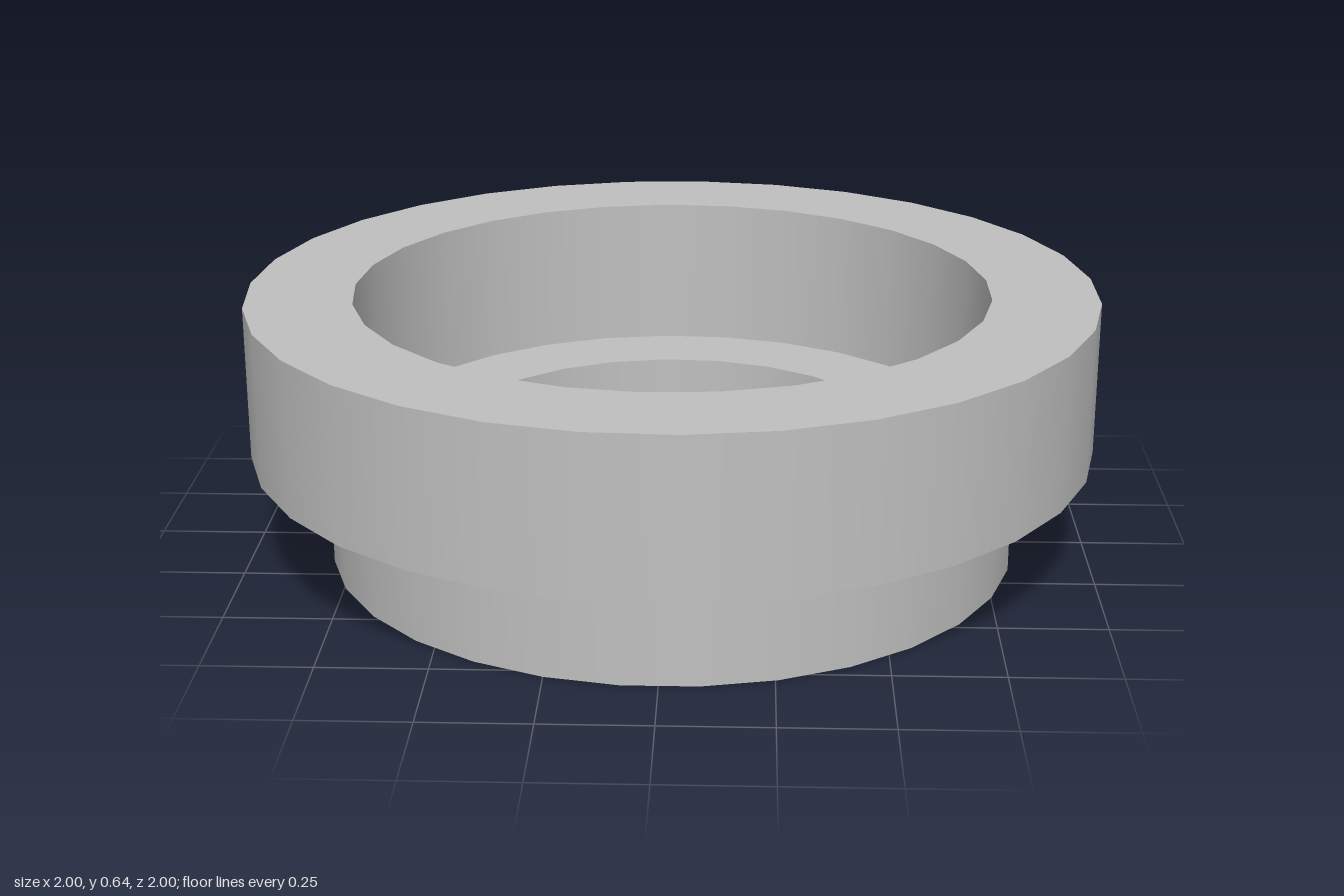
import * as THREE from 'three';

// Stepped collar: each ring edge is a circle with its own radius and side count
const FLANGE = { r: 1.001, n: 31 };
const SPIGOT = { r: 0.82, n: 30 };
const RECESS = { r: 0.75, n: 29 };
const BORE = { r: 0.55, n: 25 };
const BASE = 0, STEP = 0.275, TOP = 0.64;

export function createModel() {
  const group = new THREE.Group();
  const grey = new THREE.MeshStandardMaterial({ color: 0xc0c0c0 });
  grey.name = 'plain grey';

  function add(name, geometry) {
    const mesh = new THREE.Mesh(geometry, grey);
    mesh.name = name;
    group.add(mesh);
  }

  // Smooth wall; faces outward when y0 < y1, inward when y0 > y1
  function wall(name, { r, n }, y0, y1) {
    const profile = [new THREE.Vector2(r, y0), new THREE.Vector2(r, y1)];
    add(name, new THREE.LatheGeometry(profile, n, -Math.PI / 2));
  }

  // Polygon with a corner on the -x side
  function polygon({ r, n }) {
    return Array.from({ length: n }, (_, i) => {
      const a = Math.PI + (i / n) * Math.PI * 2;
      return new THREE.Vector2(r * Math.cos(a), r * Math.sin(a));
    });
  }

  // Flat ring facing up (dir = 1) or down (dir = -1)
  function ring(name, outer, inner, y, dir) {
    const shape = new THREE.Shape(polygon(outer));
    shape.holes.push(new THREE.Path(polygon(inner)));
    add(name, new THREE.ShapeGeometry(shape).rotateX(-dir * Math.PI / 2).translate(0, y, 0));
  }

  // Wide upper flange with its recess
  wall('flangeWall', FLANGE, STEP, TOP);
  wall('recessWall', RECESS, TOP, STEP);
  ring('flangeTop', FLANGE, RECESS, TOP, 1);
  ring('flangeUnderside', FLANGE, SPIGOT, STEP, -1);

  // Narrower lower spigot with the through bore
  wall('spigotWall', SPIGOT, BASE, STEP);
  wall('boreWall', BORE, STEP, BASE);
  ring('recessShelf', RECESS, BORE, STEP, 1);
  ring('spigotBottom', SPIGOT, BORE, BASE, -1);

  // Odd side counts make the outline slightly lopsided in x
  group.children.forEach((m) => m.geometry.translate(0.003, 0, 0));
  return group;
}
